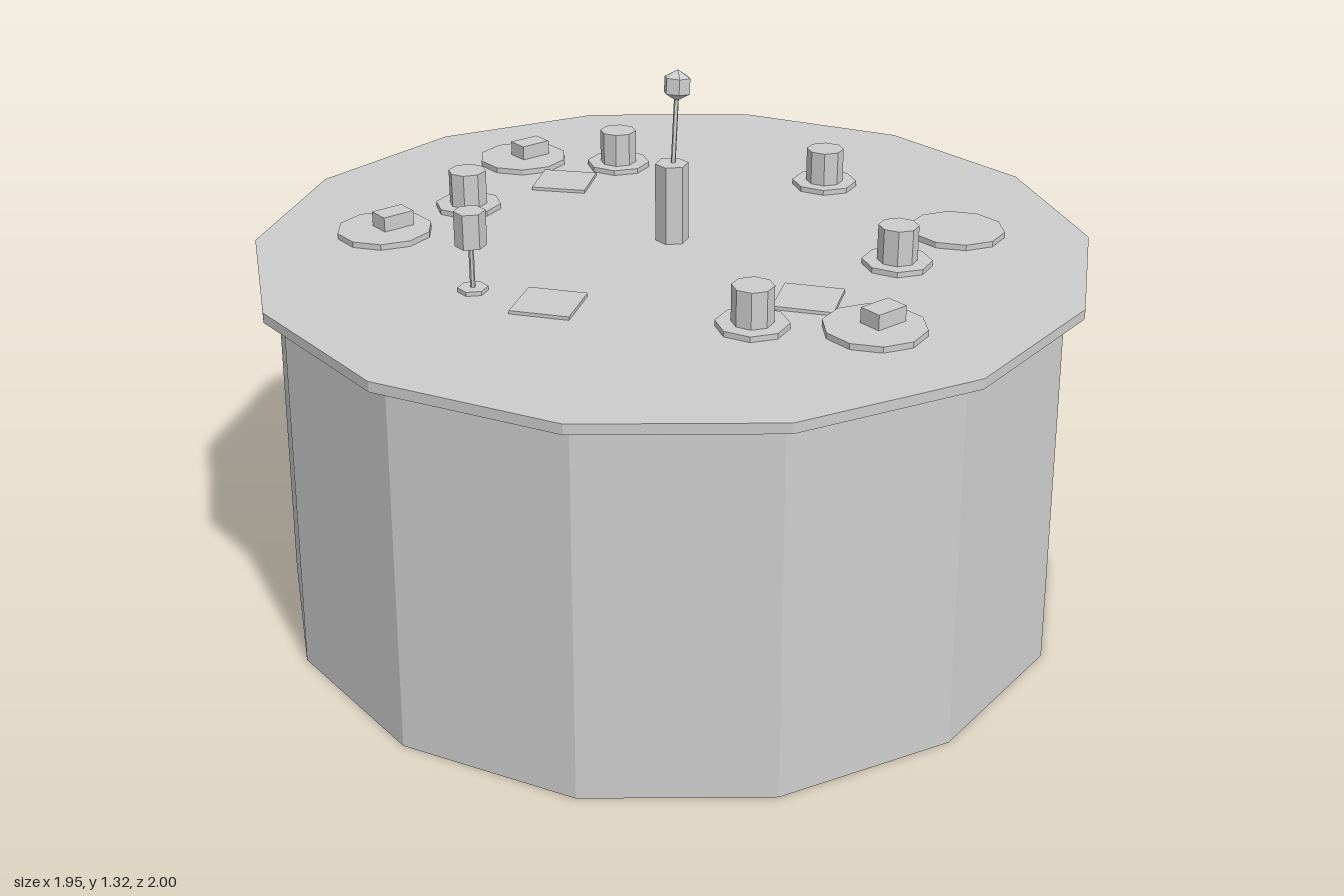
import * as THREE from 'three';

export function createModel() {
  const model = new THREE.Group();
  model.name = 'banquetTable';
  const grey = new THREE.MeshStandardMaterial({ color: 0xcccccc, flatShading: true });
  grey.name = 'plainGrey';
  const TOP = 0.91;

  function add(name, geometry, x, y, z, parent = model) {
    const mesh = new THREE.Mesh(geometry, grey);
    mesh.name = name;
    mesh.position.set(x, y, z);
    parent.add(mesh);
    return mesh;
  }
  // Upright prism given by its bottom and top heights
  function prism(name, rTop, rBottom, sides, y0, y1, x, z, parent) {
    return add(name, new THREE.CylinderGeometry(rTop, rBottom, y1 - y0, sides), x, (y0 + y1) / 2, z, parent);
  }
  function group(name, x, z) {
    const g = new THREE.Group();
    g.name = name;
    g.position.set(x, TOP, z);
    model.add(g);
    return g;
  }

  // Table: tapered skirt and overhanging top
  prism('skirt', 0.955, 0.975, 14, 0, 0.886, 0, 0);
  prism('tableTop', 1, 1, 14, 0.886, TOP, 0, 0);

  // Plates, most with a slice of food
  const plates = [[0.05, -0.695, 0.023], [-0.515, -0.47, 0.025], [-0.005, 0.69, 0.024], [0.555, 0.405, null]];
  for (const [x, z, foodX] of plates) {
    const g = group('plateSetting', x, z);
    prism('plate', 0.115, 0.115, 10, 0, 0.014, 0, 0, g);
    if (foodX !== null) add('food', new THREE.BoxGeometry(0.082, 0.036, 0.056), foodX, 0.032, 0, g);
  }

  // Cups on saucers
  for (const [x, z] of [[-0.26, -0.49], [0.225, -0.505], [0.545, -0.05], [0.3, 0.455], [-0.195, 0.51]]) {
    const g = group('cupAndSaucer', x, z);
    prism('saucer', 0.082, 0.082, 8, 0, 0.013, 0, 0, g);
    prism('cup', 0.047, 0.047, 8, 0.013, 0.098, 0, 0, g);
  }

  // Napkins
  for (const [x, z, turn] of [[0.033, -0.485, -0.87], [-0.465, 0.137, -0.94], [-0.004, 0.482, -0.95]]) {
    add('napkin', new THREE.BoxGeometry(0.138, 0.008, 0.138), x, TOP + 0.004, z).rotation.y = turn;
  }

  // Stemmed glass
  const glass = group('stemGlass', -0.55, -0.035);
  prism('glassFoot', 0.035, 0.035, 6, 0, 0.01, 0, 0, glass);
  prism('glassStem', 0.006, 0.006, 6, 0.01, 0.112, 0, 0, glass);
  prism('glassBowl', 0.036, 0.036, 6, 0.11, 0.192, 0, 0, glass);

  // Vase with a leaning flower
  prism('vase', 0.04, 0.04, 6, TOP, 1.102, -0.003, 0);
  const from = new THREE.Vector3(0, 1.08, 0);
  const to = new THREE.Vector3(0.021, 1.285, -0.01);
  const dir = to.clone().sub(from);
  const mid = from.clone().lerp(to, 0.5);
  const up = new THREE.Vector3(0, 1, 0);
  const lean = new THREE.Quaternion().setFromUnitVectors(up, dir.clone().normalize());
  add('flowerStem', new THREE.CylinderGeometry(0.006, 0.006, dir.length(), 5), mid.x, mid.y, mid.z).quaternion.copy(lean);
  add('flowerHead', new THREE.SphereGeometry(0.037, 6, 3), to.x, to.y, to.z).quaternion.copy(lean);

  return model;
}
